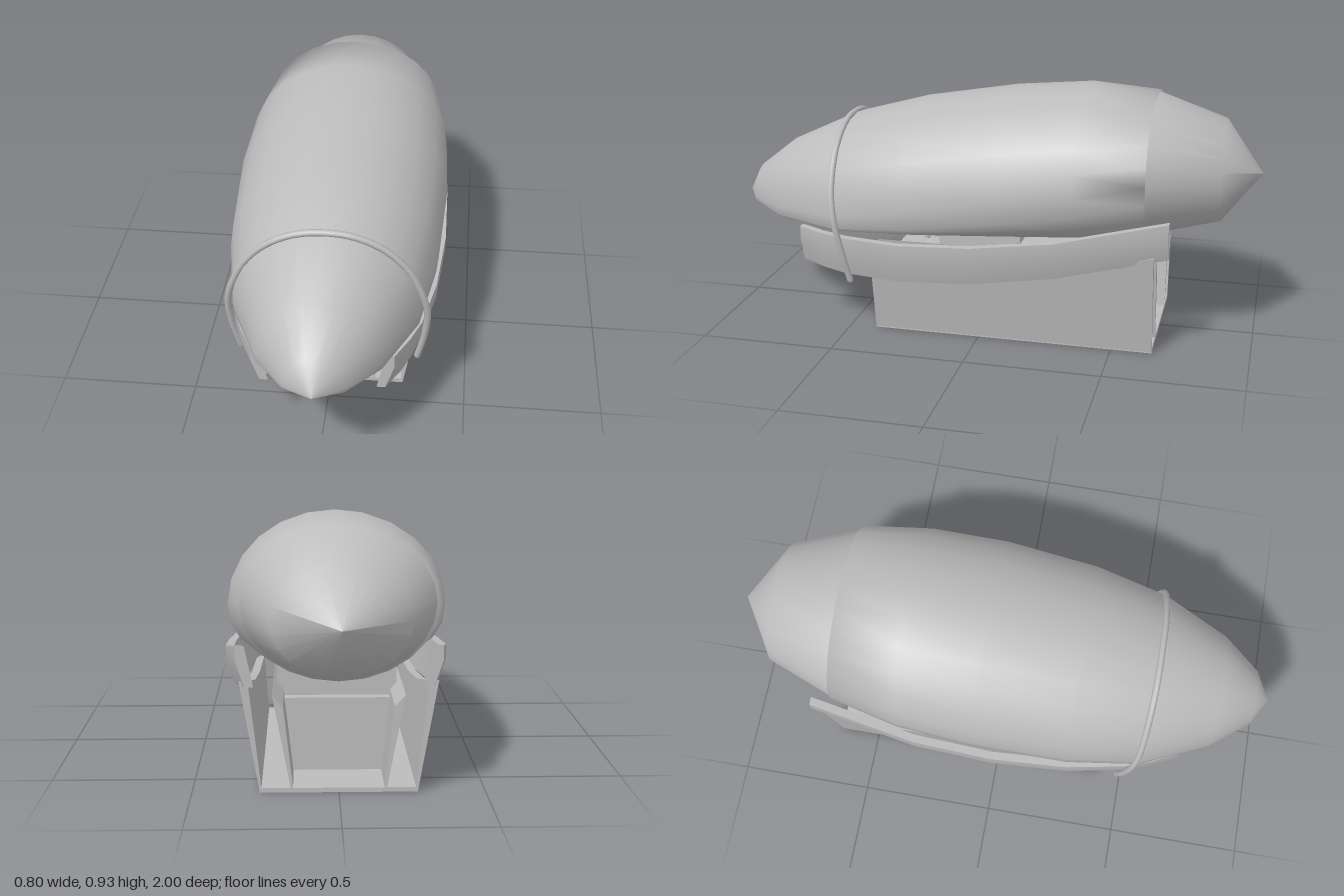
import * as THREE from 'three';
import { toCreasedNormals } from 'three/addons/utils/BufferGeometryUtils.js';

// Skin a list of rings running front to back; each ring is anticlockwise seen from the front.
function loft(rings, caps = false) {
  const n = rings[0].length, pos = [], idx = [];
  rings.forEach(r => r.forEach(p => pos.push(...p)));
  for (let i = 0; i < rings.length - 1; i++) {
    for (let j = 0; j < n; j++) {
      const k = (j + 1) % n, a = i * n + j, b = i * n + k, c = a + n, d = b + n;
      idx.push(a, c, b, b, c, d);
    }
  }
  if (caps) {
    const e = (rings.length - 1) * n;
    for (let j = 1; j < n - 1; j++) idx.push(0, j, j + 1, e, e + j + 1, e + j);
  }
  const g = new THREE.BufferGeometry();
  g.setAttribute('position', new THREE.Float32BufferAttribute(pos, 3));
  g.setIndex(idx);
  g.computeVertexNormals();
  return g;
}

// Egg-shaped ring; "square" below 1 fills out the lower corners, "arch" hollows the underside.
function hullRing([z, w, top, mid, bottom, square, arch]) {
  const ring = [], sides = 24;
  for (let j = 0; j < sides; j++) {
    const t = (j / sides) * Math.PI * 2, c = Math.cos(t), s = Math.sin(t);
    if (s >= -1e-6) {
      ring.push([w * c, mid + (top - mid) * s, z]);
    } else {
      const x = Math.sign(c) * Math.abs(c) ** square;
      const y = mid - (mid - bottom) * Math.abs(s) ** square + arch * (1 - x * x);
      ring.push([w * x, y, z]);
    }
  }
  return ring;
}

const mirror = rings => rings.map(r => r.map(([x, y, z]) => [-x, y, z]).reverse());

export function createModel() {
  const model = new THREE.Group();
  const grey = new THREE.MeshStandardMaterial({ color: 0xbcbcbc });
  grey.name = 'plain grey';

  const add = (name, geometry, x = 0, y = 0, z = 0) => {
    const mesh = new THREE.Mesh(geometry, grey);
    mesh.name = name;
    mesh.position.set(x, y, z);
    model.add(mesh);
    return mesh;
  };
  const solid = rings => toCreasedNormals(loft(rings, true), 0.6);
  const pair = (name, rings) => {
    add(name + 'Left', solid(rings));
    add(name + 'Right', solid(mirror(rings)));
  };

  // Main hull: z, half width, top, widest height, bottom, squareness, arch
  add('hull', loft([
    [1.0, 0.001, 0.431, 0.43, 0.429, 1, 0],
    [0.94, 0.105, 0.54, 0.43, 0.4, 0.5, 0.025],
    [0.8, 0.215, 0.65, 0.435, 0.375, 0.4, 0.035],
    [0.55, 0.33, 0.768, 0.45, 0.37, 0.4, 0.035],
    [0.28, 0.38, 0.842, 0.5, 0.37, 0.5, 0.03],
    [-0.07, 0.398, 0.902, 0.56, 0.37, 0.7, 0.02],
    [-0.36, 0.385, 0.929, 0.6, 0.37, 0.85, 0.01],
    [-0.61, 0.338, 0.91, 0.645, 0.378, 1, 0],
  ].map(hullRing), true));

  // Tail cone, set in slightly behind the hull edge
  add('tail', toCreasedNormals(loft([
    [-0.605, 0.333, 0.904, 0.645, 0.384, 1, 0],
    [-0.86, 0.23, 0.82, 0.635, 0.45, 1, 0],
    [-1.0, 0.001, 0.631, 0.63, 0.629, 1, 0],
  ].map(hullRing)), 0.7));

  // Curved side rails: z, outer x, top, bottom
  pair('sideRail', [
    [0.7, 0.25, 0.375, 0.235],
    [0.6, 0.298, 0.373, 0.226],
    [0.5, 0.335, 0.372, 0.222],
    [0.28, 0.378, 0.375, 0.225],
    [0, 0.402, 0.397, 0.25],
    [-0.3, 0.398, 0.437, 0.296],
    [-0.7, 0.345, 0.522, 0.382],
  ].map(([z, x, top, low]) => [
    [x - 0.06, low, z], [x - 0.03, low, z], [x, (top + low) / 2 + 0.02, z], [x, top, z], [x - 0.03, top, z],
  ]));

  // Leaning outer walls of the undercarriage, rising towards the back
  pair('outerWall', [[0.4, 0.24], [0, 0.27], [-0.3, 0.31], [-0.65, 0.39]].map(([z, y]) => [
    [0.262, 0.005, z], [0.27, 0.005, z], [0.27 + 0.17 * y, y, z], [0.24 + 0.17 * y, y, z],
  ]));

  // Inner walls of the undercarriage
  pair('innerWall', [0.4, -0.65].map(z => [
    [0.155, 0.01, z], [0.163, 0.01, z], [0.225, 0.34, z], [0.188, 0.3, z],
  ]));

  add('basePlate', new THREE.BoxGeometry(0.54, 0.016, 1.05), 0, 0.008, -0.125);

  // Central block with an overhanging upper front
  const block = (w0, y0, front0, w1, y1, front1) => solid([
    [[-w0, y0, front0], [w0, y0, front0], [w1, y1, front1], [-w1, y1, front1]],
    [[-w0, y0, -0.45], [w0, y0, -0.45], [w1, y1, -0.45], [-w1, y1, -0.45]],
  ]);
  add('lowerBlock', block(0.158, 0.01, 0.25, 0.172, 0.155, 0.25));
  add('upperBlock', block(0.172, 0.155, 0.25, 0.188, 0.28, 0.36));

  // Mounting between the block and the hull
  add('mountNeck', new THREE.BoxGeometry(0.165, 0.06, 0.3), 0, 0.3, 0.05);
  add('mountHead', new THREE.BoxGeometry(0.19, 0.09, 0.36), 0, 0.365, 0.06);
  for (const side of [-1, 1]) {
    add('mountPost', new THREE.CylinderGeometry(0.012, 0.012, 0.1, 10), side * 0.108, 0.37, 0.24);
  }
  add('bulkhead', new THREE.BoxGeometry(0.42, 0.13, 0.02), 0, 0.335, -0.4);

  // Hoop over the hull, its ends running down outside the rails
  const half = [
    [0.1, 0.758, 0.555], [0.2, 0.71, 0.552], [0.28, 0.63, 0.547], [0.33, 0.53, 0.54],
    [0.352, 0.44, 0.525], [0.345, 0.32, 0.502], [0.322, 0.205, 0.48],
  ];
  const points = [
    ...half.map(([x, y, z]) => [-x, y, z]).reverse(), [0, 0.77, 0.555], ...half,
  ].map(p => new THREE.Vector3(...p));
  const path = new THREE.CatmullRomCurve3(points);
  add('hoop', new THREE.TubeGeometry(path, 56, 0.012, 8, false));
  for (const end of [points[0], points[points.length - 1]]) {
    add('hoopEnd', new THREE.SphereGeometry(0.012, 8, 6), end.x, end.y, end.z);
  }

  return model;
}
